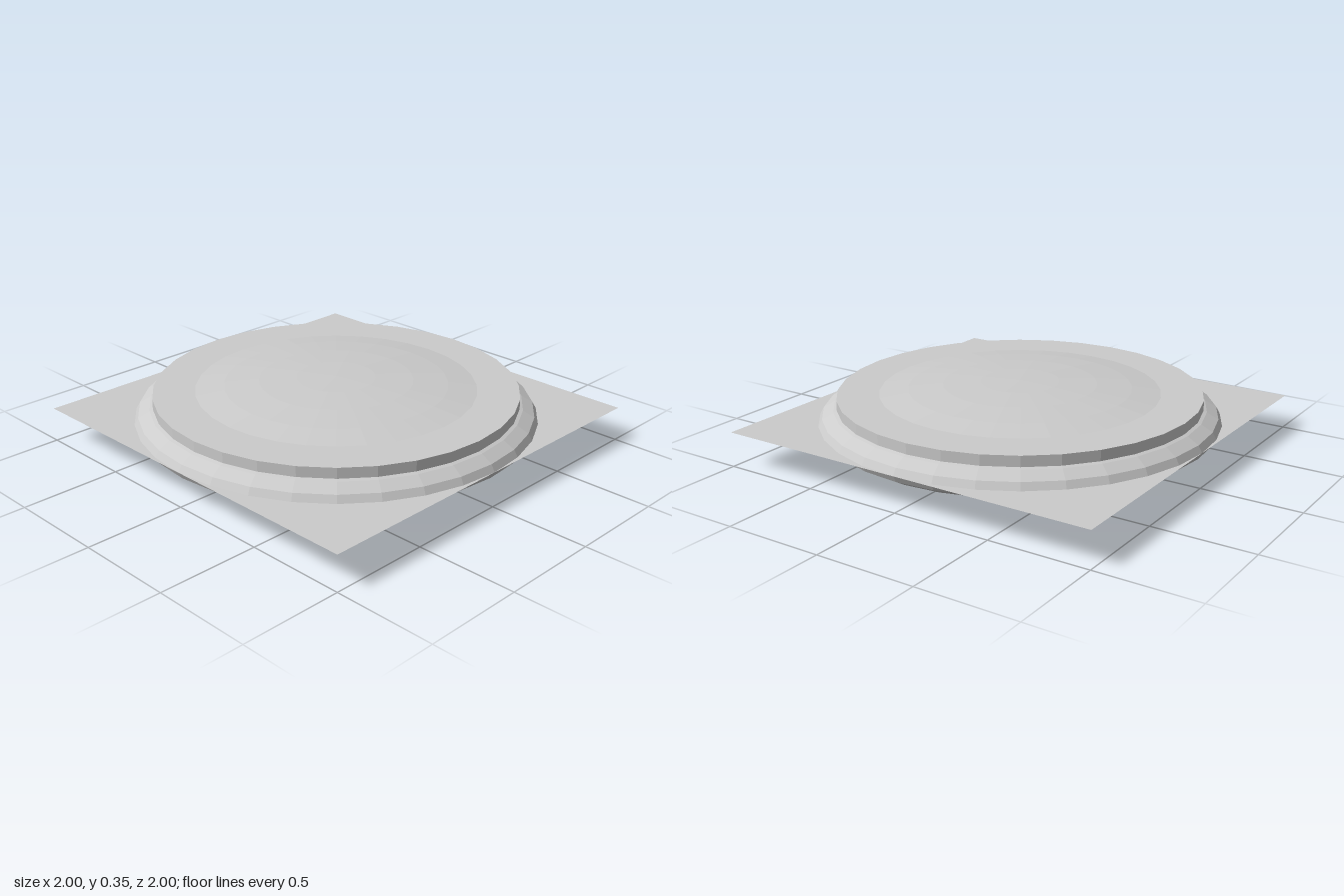
import * as THREE from 'three';

const SEGMENTS = 32;
const MID = 0.175; // height of the disc's widest ring

export function createModel() {
  const group = new THREE.Group();
  const solid = new THREE.MeshStandardMaterial({ color: 0xcccccc, flatShading: true });
  const sheet = new THREE.MeshStandardMaterial({ color: 0xcccccc, side: THREE.DoubleSide });

  const add = (name, geometry, material, y) => {
    const mesh = new THREE.Mesh(geometry, material);
    mesh.name = name;
    mesh.position.y = y;
    group.add(mesh);
  };

  // Flattened sphere forming the underside, rim and shallow dome
  add('discBody', new THREE.SphereGeometry(1, SEGMENTS, 16).scale(1, MID, 1), solid, MID);

  // Short drum whose flat top surrounds the dome
  add('topRing', new THREE.CylinderGeometry(0.907, 0.907, 0.1, SEGMENTS), solid, 0.25);

  // Thin square sheet through the widest ring
  add('squareSheet', new THREE.PlaneGeometry(2, 2).rotateX(-Math.PI / 2), sheet, MID);

  return group;
}
